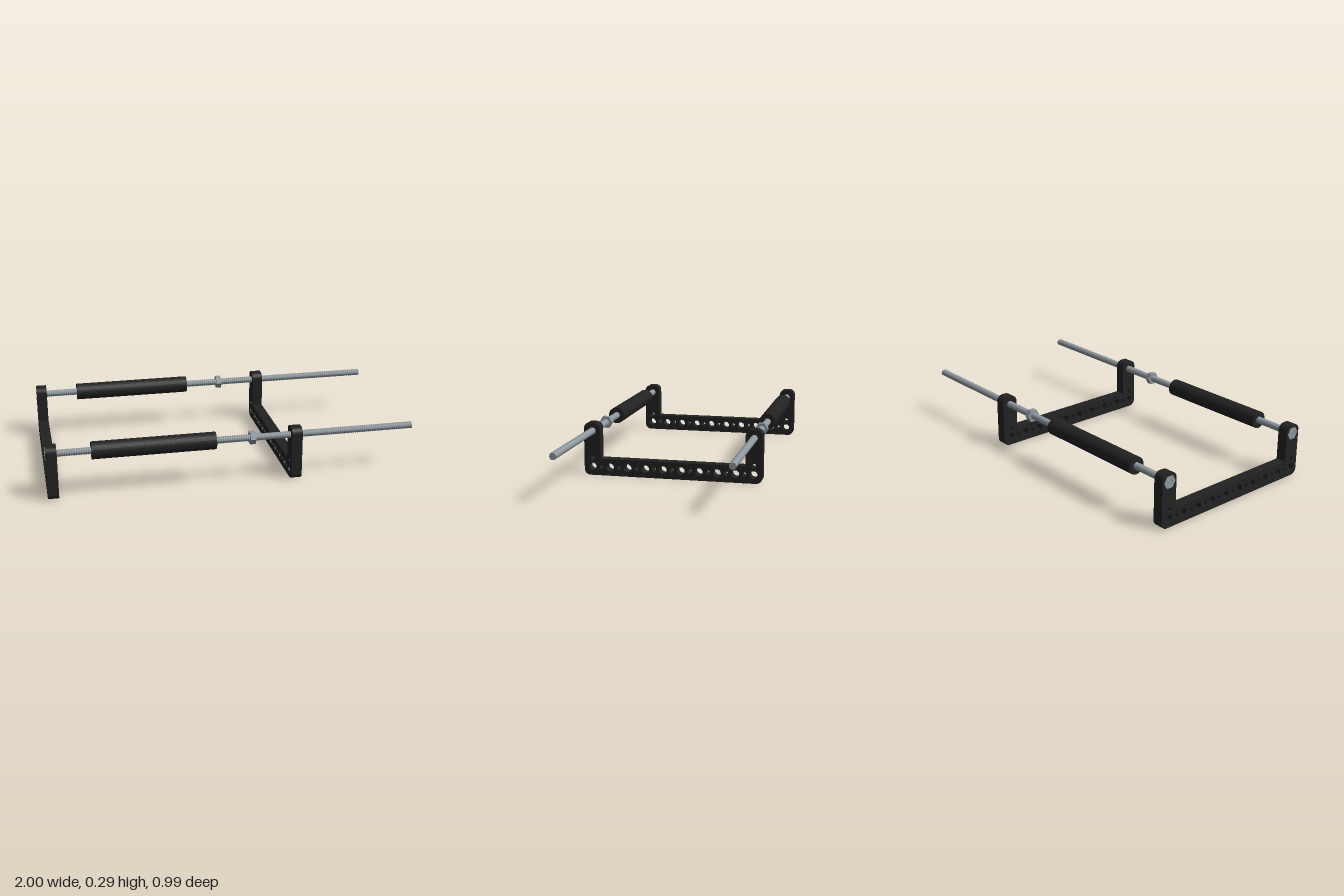
import * as THREE from 'three';

const black = new THREE.MeshStandardMaterial({ color: 0x222222 });
black.name = 'black plastic';
const steel = new THREE.MeshStandardMaterial({ color: 0x8f989f });
steel.name = 'steel';

const ROD_Y = 0.248, ROD_Z = 0.45, BORE = 0.0205;

function part(name, geometry, material, x = 0, y = 0, z = 0) {
  const mesh = new THREE.Mesh(geometry, material);
  mesh.name = name;
  mesh.position.set(x, y, z);
  return mesh;
}

function circle(x, y, r) {
  return new THREE.Path().absarc(x, y, r, 0, Math.PI * 2, true);
}

// Extrude a shape drawn in (z, y) along x, centred on x = 0
function extrudeX(shape, depth) {
  const g = new THREE.ExtrudeGeometry(shape, { depth, bevelEnabled: false, curveSegments: 14 });
  return g.translate(0, 0, -depth / 2).rotateY(-Math.PI / 2);
}

// U-shaped end frame with rounded outer corners and a row of holes
function frameGeometry() {
  const w = 0.497, inner = 0.405, h = 0.295, bar = 0.094, r = 0.034;
  const s = new THREE.Shape();
  s.moveTo(-w + r, 0).lineTo(w - r, 0);
  s.absarc(w - r, r, r, -Math.PI / 2, 0, false);
  s.absarc(w - r, h - r, r, 0, Math.PI / 2, false);
  s.absarc(inner + r, h - r, r, Math.PI / 2, Math.PI, false);
  s.lineTo(inner, bar).lineTo(-inner, bar);
  s.absarc(-inner - r, h - r, r, 0, Math.PI / 2, false);
  s.absarc(-w + r, h - r, r, Math.PI / 2, Math.PI, false);
  s.absarc(-w + r, r, r, Math.PI, Math.PI * 1.5, false);
  for (let i = 0; i < 10; i++) s.holes.push(circle(-0.45 + i * 0.1, 0.048, 0.0215));
  for (let i = 0; i < 9; i++) s.holes.push(circle(-0.4 + i * 0.1, 0.048, 0.0115));
  for (const side of [-1, 1]) {
    s.holes.push(circle(side * ROD_Z, 0.098, 0.012));
    s.holes.push(circle(side * ROD_Z, ROD_Y, BORE));
  }
  return extrudeX(s, 0.058);
}

// Rod whose radius follows a helical triangle wave
function threadedRodGeometry() {
  const pitch = 0.0125, length = 1.998;
  const g = new THREE.CylinderGeometry(0.02, 0.02, length, 16, 640);
  const p = g.attributes.position;
  for (let i = 0; i < p.count; i++) {
    const x = p.getX(i), y = p.getY(i), z = p.getZ(i);
    if (Math.hypot(x, z) < 0.001) continue;
    const a = Math.atan2(z, x);
    const t = y / pitch - a / (Math.PI * 2);
    const radius = 0.016 + 0.004 * Math.abs(2 * (t - Math.floor(t)) - 1);
    p.setXYZ(i, radius * Math.cos(a), y, radius * Math.sin(a));
  }
  g.computeVertexNormals();
  return g.rotateZ(-Math.PI / 2);
}

// Hexagonal nut with two corners pointing along z
function nutGeometry(depth) {
  const s = new THREE.Shape();
  for (let i = 0; i < 6; i++) {
    const a = i * Math.PI / 3, x = 0.037 * Math.cos(a), y = 0.037 * Math.sin(a);
    if (i) s.lineTo(x, y); else s.moveTo(x, y);
  }
  s.closePath();
  s.holes.push(circle(0, 0, 0.019));
  return extrudeX(s, depth);
}

function sleeveGeometry() {
  const s = new THREE.Shape().absarc(0, 0, 0.047, 0, Math.PI * 2, false);
  s.holes.push(circle(0, 0, BORE));
  return extrudeX(s, 0.66);
}

export function createModel() {
  const model = new THREE.Group();
  model.name = 'rod frame';

  const frame = frameGeometry();
  model.add(part('endFrame', frame, black, -0.969));
  model.add(part('slidingFrame', frame, black, 0.339));

  const rod = threadedRodGeometry(), sleeve = sleeveGeometry();
  const nut = nutGeometry(0.03), endNut = nutGeometry(0.03);
  for (const side of [-1, 1]) {
    const rail = new THREE.Group();
    rail.name = side > 0 ? 'frontRail' : 'backRail';
    rail.position.set(0, ROD_Y, side * ROD_Z);
    rail.add(part('threadedRod', rod, steel, 0.001));
    rail.add(part('sleeve', sleeve, black, -0.43));
    rail.add(part('nut', nut, steel, 0.1));
    // nut set into the outer face of the end frame
    rail.add(part('endNut', endNut, steel, -0.985));
    model.add(rail);
  }
  return model;
}
